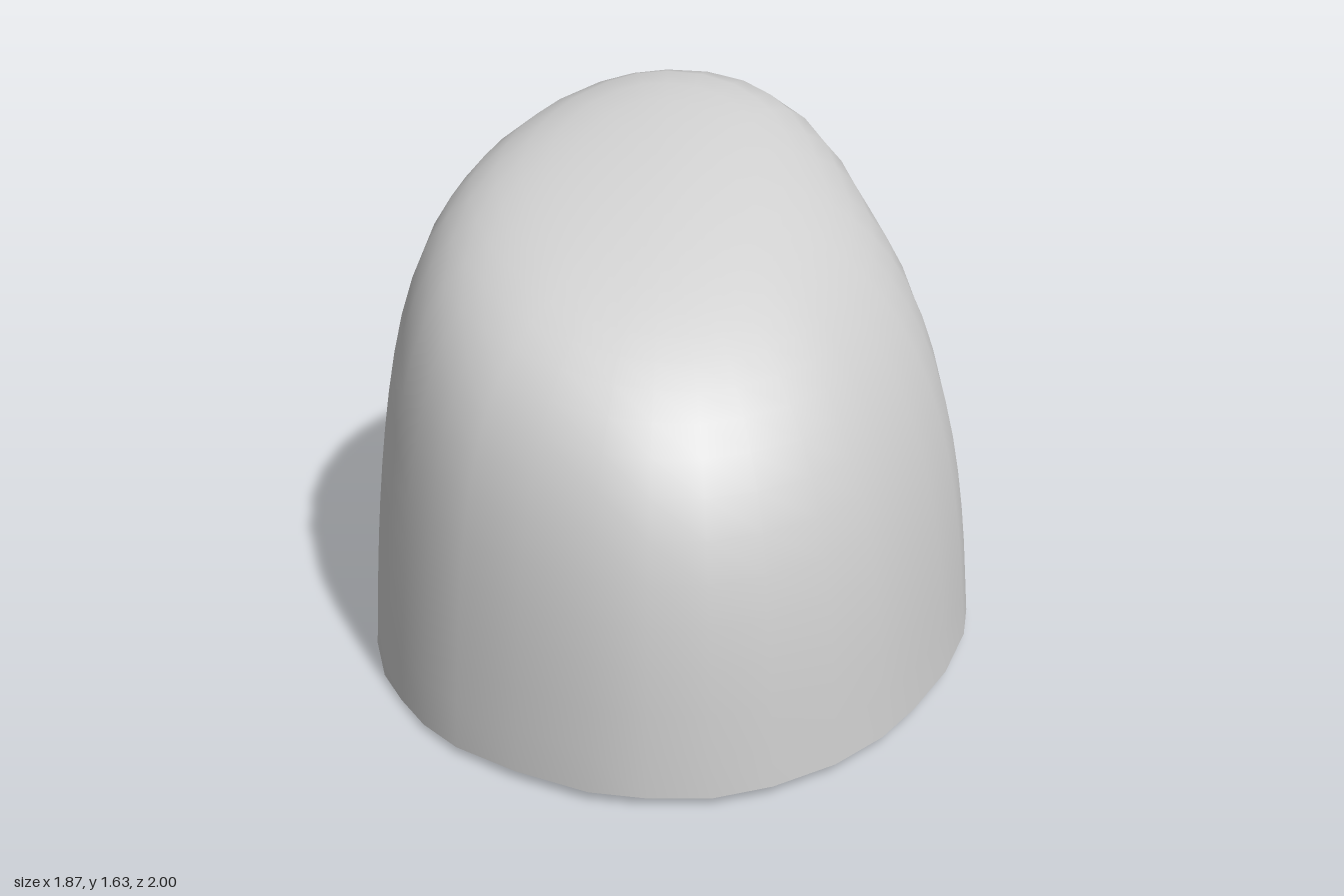
import * as THREE from 'three';

// Footprint, as [x, z] pairs running clockwise seen from above
const OUTLINE = [
  [-0.02, -1], [0.18, -0.98], [0.34, -0.93], [0.46, -0.87], [0.6, -0.75], [0.7, -0.62],
  [0.83, -0.46], [0.89, -0.34], [0.93, -0.2], [0.935, -0.05], [0.9, 0.18], [0.83, 0.4],
  [0.76, 0.56], [0.65, 0.72], [0.5, 0.86], [0.35, 0.95], [0.18, 0.99], [0.02, 1],
  [-0.2, 0.95], [-0.4, 0.87], [-0.53, 0.78], [-0.64, 0.67], [-0.74, 0.55], [-0.83, 0.38],
  [-0.9, 0.2], [-0.935, 0], [-0.93, -0.2], [-0.89, -0.38], [-0.83, -0.52], [-0.74, -0.67],
  [-0.56, -0.85], [-0.4, -0.94], [-0.23, -0.985],
];
const N = OUTLINE.length;
const RINGS = 20;
const BASE = 0.03;
const ROUNDING = 8;

// The underside dips slightly towards -x
const baseY = (x) => BASE - BASE * Math.min(1, Math.max(0, (-x - 0.1) / 0.82));

// Rounded intersection of the tapering wall and the sloping top faces; 1 on the surface
function solid(x, y, z, side) {
  const faces = [
    side + 0.06 * y + 0.06 * y * y,        // tapering wall
    (y + 0.6 * z + 0.15 * x) / 1.52,       // long slope to the front
    y / 1.84,                              // crown
    (y - 0.9 * x) / 2.24,                  // shoulder at -x
    (y + 1.13 * x + 0.3 * z) / 1.94,       // steeper shoulder at +x
  ];
  return faces.reduce((sum, f) => sum + Math.max(0, f) ** ROUNDING, 0);
}

// Surface point along a ray from the middle of the base
function surfacePoint([px, pz], angle) {
  const c = Math.cos(angle), h = 1.6 * Math.sin(angle);
  let lo = 0, hi = 2;
  for (let i = 0; i < 40; i++) {
    const s = (lo + hi) / 2;
    if (solid(s * c * px, BASE + s * h, s * c * pz, s * c) < 1) lo = s;
    else hi = s;
  }
  return [lo * c * px, BASE + lo * h, lo * c * pz];
}

function makeMesh(name, positions, index, material) {
  const geometry = new THREE.BufferGeometry();
  geometry.setAttribute('position', new THREE.Float32BufferAttribute(positions, 3));
  geometry.setIndex(index);
  geometry.computeVertexNormals();
  const mesh = new THREE.Mesh(geometry, material);
  mesh.name = name;
  return mesh;
}

export function createModel() {
  const group = new THREE.Group();
  group.name = 'slantedDome';
  const material = new THREE.MeshStandardMaterial({ color: 0xcccccc });
  const rim = OUTLINE.map(([x, z]) => [x, baseY(x), z]);

  // Dome: rings from the rim up to a single closing vertex
  const points = rim.flat();
  const faces = [];
  for (let j = 1; j < RINGS; j++) {
    for (const p of OUTLINE) points.push(...surfacePoint(p, (j / RINGS) * Math.PI / 2));
  }
  points.push(...surfacePoint([0, 0], Math.PI / 2));
  const pole = N * RINGS;
  for (let j = 0; j < RINGS; j++) {
    for (let i = 0; i < N; i++) {
      const a = j * N + i, b = j * N + (i + 1) % N;
      if (j === RINGS - 1) faces.push(a, pole, b);
      else faces.push(a, a + N, b + N, a, b + N, b);
    }
  }
  group.add(makeMesh('dome', points, faces, material));

  // Flat underside with its own vertices, so the rim stays sharp
  const fan = [];
  for (let i = 0; i < N; i++) fan.push(N, i, (i + 1) % N);
  group.add(makeMesh('underside', [...rim.flat(), 0, BASE, 0], fan, material));

  return group;
}
